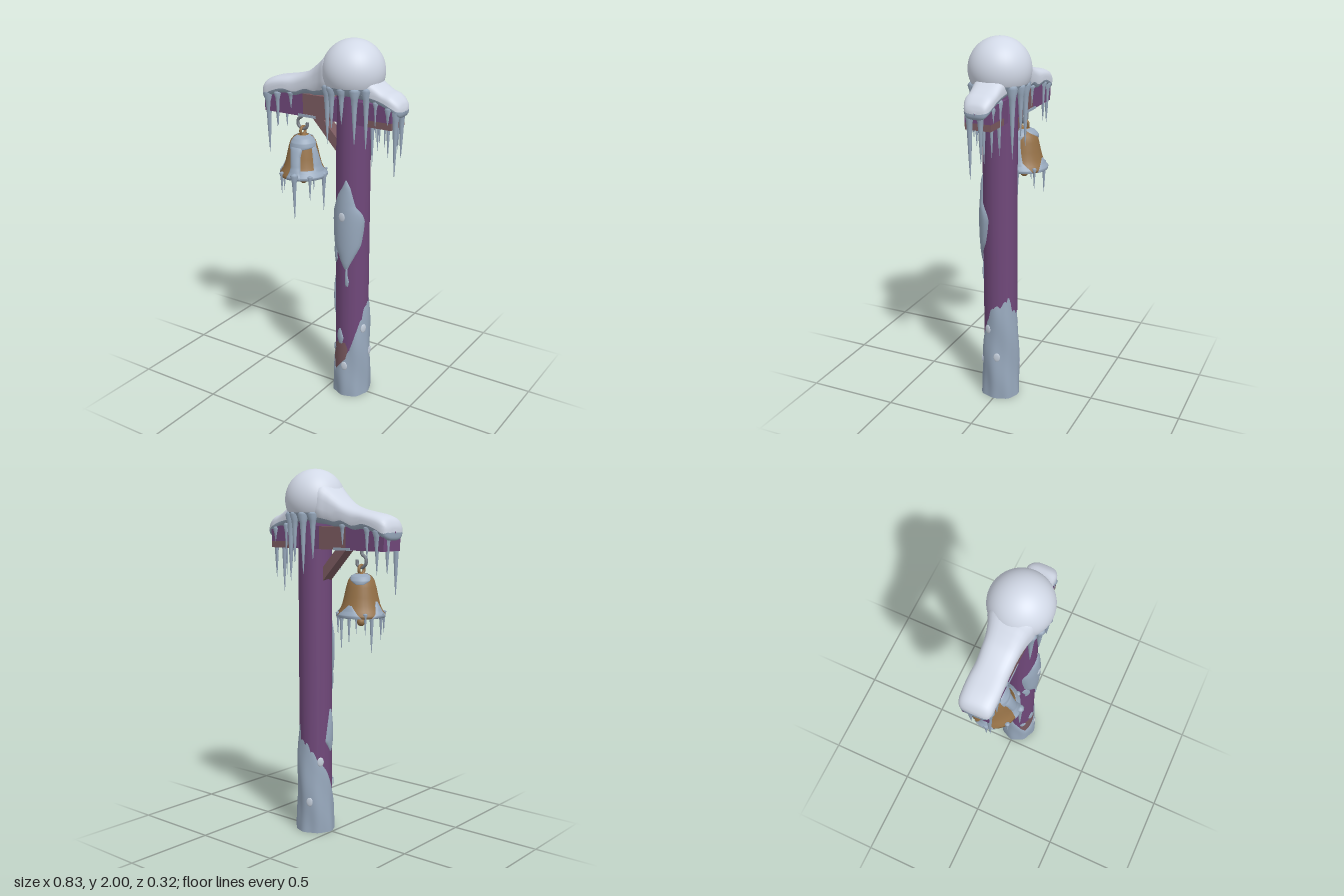
import * as THREE from 'three';
import { mergeVertices } from 'three/addons/utils/BufferGeometryUtils.js';

const mat = (name, color, side = THREE.FrontSide) => {
  const m = new THREE.MeshStandardMaterial({ color, side });
  m.name = name;
  return m;
};

// Smooth surface from f(u, v) with u and v in 0..1
function grid(nu, nv, f) {
  const pos = [], idx = [];
  for (let j = 0; j <= nv; j++) for (let i = 0; i <= nu; i++) pos.push(...f(i / nu, j / nv));
  for (let j = 0; j < nv; j++) for (let i = 0; i < nu; i++) {
    const a = j * (nu + 1) + i, d = a + nu + 1;
    idx.push(a, a + 1, d + 1, a, d + 1, d);
  }
  let g = new THREE.BufferGeometry();
  g.setAttribute('position', new THREE.Float32BufferAttribute(pos, 3));
  g.setIndex(idx);
  g = mergeVertices(g, 1e-5);
  g.computeVertexNormals();
  return g;
}

// Piecewise-linear lookup in a list of [key, value, value...] rows
function lookup(rows, k) {
  let i = 0;
  while (i < rows.length - 2 && k > rows[i + 1][0]) i++;
  const a = rows[i], b = rows[i + 1];
  const t = THREE.MathUtils.clamp((k - a[0]) / (b[0] - a[0]), 0, 1);
  return a.slice(1).map((v, n) => v + (b[n + 1] - v) * t);
}

export function createModel() {
  const root = new THREE.Group();
  root.name = 'snowyBellPost';
  const wood = mat('purple wood', 0x70487a);
  const worn = mat('worn brown wood', 0x7b5a60);
  const snow = mat('snow', 0xd2d9e7, THREE.DoubleSide);
  const ice = mat('ice', 0x97a8bc, THREE.DoubleSide);
  const frost = mat('frost', 0xc4cedb);
  const bronze = mat('bronze', 0x947046);
  const iron = mat('iron', 0x7a8089);

  const add = (name, geo, material, x = 0, y = 0, z = 0) => {
    const m = new THREE.Mesh(geo, material);
    m.name = name;
    m.position.set(x, y, z);
    root.add(m);
    return m;
  };
  const PX = 0.118, PR = 0.091;
  const postRadius = () => PR;

  // Post with foot
  add('post', new THREE.CylinderGeometry(PR, PR, 1.74, 16), wood, PX, 0.88);
  add('postFoot', new THREE.CylinderGeometry(0.1, 0.1, 0.012, 16), wood, PX, 0.006);

  // Crossbeam in wood segments: name, x0, x1, y0, y1, material
  [['beamLeft', -0.395, -0.15, 1.58, 1.7, wood], ['beamWorn', -0.15, 0.03, 1.58, 1.7, worn],
    ['beamMiddle', 0.03, 0.22, 1.58, 1.7, wood], ['beamRightTop', 0.22, 0.375, 1.615, 1.7, wood],
    ['beamRightWorn', 0.22, 0.375, 1.58, 1.615, worn]].forEach(([n, a, b, c, d, m]) =>
    add(n, new THREE.BoxGeometry(b - a, d - c, 0.14), m, (a + b) / 2, (c + d) / 2));
  add('beamIceStrip', new THREE.BoxGeometry(0.11, 0.014, 0.146), ice, -0.125, 1.585);

  // Diagonal brace under the beam
  add('brace', new THREE.BoxGeometry(0.26, 0.05, 0.07), worn, -0.02, 1.505).rotation.z = -0.82;

  // Snow ridge along the beam: x, half width, top, bottom
  const ridge = [
    [-0.416, 0.004, 1.68, 1.67], [-0.412, 0.06, 1.71, 1.64], [-0.39, 0.083, 1.745, 1.635], [-0.34, 0.088, 1.765, 1.66],
    [-0.27, 0.088, 1.778, 1.68], [-0.2, 0.085, 1.793, 1.67], [-0.13, 0.088, 1.818, 1.695], [-0.08, 0.092, 1.855, 1.69],
    [-0.035, 0.102, 1.895, 1.7], [0.02, 0.118, 1.935, 1.71], [0.12, 0.1, 1.9, 1.71], [0.22, 0.085, 1.83, 1.7],
    [0.28, 0.079, 1.79, 1.69], [0.32, 0.077, 1.765, 1.68], [0.365, 0.075, 1.75, 1.66], [0.4, 0.06, 1.72, 1.64],
    [0.412, 0.04, 1.695, 1.65], [0.416, 0.004, 1.675, 1.665]];
  const curve = pick => new THREE.CatmullRomCurve3(ridge.map(pick), false, 'catmullrom', 0.5);
  const topCurve = curve(r => new THREE.Vector3(r[0], r[1], r[2]));
  const lowCurve = curve(r => new THREE.Vector3(r[0], r[3], 0));
  const squash = v => Math.sign(v) * Math.abs(v) ** 0.7;
  // The snow stops a little above the ridge bottom; ice continues below it
  const ridgePart = isSnow => grid(68, 18, (u, v) => {
    const t = topCurve.getPoint(u), low = lowCurve.getPoint(u).y, h = (t.z - low) / 2;
    const edge = Math.asin(Math.max(0, 1 - 0.036 / h) ** (1 / 0.7));
    const a = isSnow ? -edge + (Math.PI + 2 * edge) * v : Math.PI + edge + (Math.PI - 2 * edge) * v;
    return [t.x, low + h + squash(Math.sin(a)) * h, squash(Math.cos(a)) * t.y];
  });
  add('snowRidge', ridgePart(true), snow);
  add('ridgeIceLip', ridgePart(false), ice);

  // Snow ball over the post, with an icy underside
  const split = 1.99, SX = 0.116, SY = 1.838, SR = 0.162;
  add('snowBall', new THREE.SphereGeometry(SR, 40, 24, 0, Math.PI * 2, 0, split), snow, SX, SY);
  const under = new THREE.SphereGeometry(SR, 40, 12, 0, Math.PI * 2, split, Math.PI - split);
  const up = under.attributes.position;
  for (let i = 0; i < up.count; i++) up.setY(i, Math.max(up.getY(i), -0.108));
  under.computeVertexNormals();
  add('ballIceUnderside', under, ice, SX, SY);

  // Icicles: x, z, top, tip, radius
  const icicle = (name, [x, z, top, tip, r], i) => {
    const h = top - tip;
    const profile = [[0, 0], [0.12, 0.12], [0.32, 0.4], [0.46, 0.66], [0.62, 0.84], [1, 0.97], [0.7, 1.01], [0, 1.03]]
      .map(([a, b]) => new THREE.Vector2(a * r, b * h));
    add(name + (i + 1), new THREE.LatheGeometry(profile, 10), ice, x, tip, z);
  };
  [[-0.375, 0.062, 1.685, 1.34, 0.03], [-0.388, -0.03, 1.68, 1.46, 0.027], [-0.31, 0.07, 1.69, 1.5, 0.022],
    [-0.225, 0.07, 1.7, 1.61, 0.021], [-0.35, -0.066, 1.685, 1.46, 0.026], [-0.29, -0.07, 1.7, 1.53, 0.021],
    [-0.13, -0.07, 1.71, 1.6, 0.02], [0.383, 0.04, 1.685, 1.32, 0.027], [0.355, 0.06, 1.69, 1.43, 0.022],
    [0.345, -0.06, 1.69, 1.44, 0.021], [0.385, -0.02, 1.68, 1.41, 0.026], [0.285, 0.066, 1.71, 1.53, 0.016],
    [0.265, -0.066, 1.71, 1.43, 0.018]].forEach((d, i) => icicle('beamIcicle', d, i));
  [[0.018, 0.095, 1.77, 1.46, 0.03], [0.06, 0.12, 1.77, 1.55, 0.029], [0.125, 0.13, 1.77, 1.59, 0.027],
    [0.19, 0.113, 1.77, 1.48, 0.03], [0.235, 0.075, 1.77, 1.45, 0.027], [0.247, 0.03, 1.77, 1.36, 0.027],
    [0.243, -0.05, 1.77, 1.46, 0.027], [0.2, -0.105, 1.77, 1.4, 0.029], [0.15, -0.128, 1.77, 1.5, 0.027],
    [0.09, -0.128, 1.77, 1.44, 0.029], [0.04, -0.108, 1.77, 1.52, 0.029]].forEach((d, i) => icicle('ballIcicle', d, i));

  // Ice sheet hugging a round body; rows are [y, left angle, right angle] in degrees
  const patch = (name, radius, cx, rows, bulge, material = ice) => {
    const y0 = rows[0][0], y1 = rows.at(-1)[0];
    return add(name, grid(14, 24, (u, v) => {
      const y = y0 + (y1 - y0) * v, [a, b] = lookup(rows, y);
      const t = THREE.MathUtils.degToRad(a + (b - a) * u);
      const r = radius(y) + 0.003 + bulge * Math.sqrt(Math.sin(Math.PI * u) * Math.sin(Math.PI * v) + 1e-6);
      return [cx + r * Math.sin(t), y, r * Math.cos(t)];
    }), material);
  };

  // Thick ice around the foot; rim height by angle
  const rim = [[0, 0.23], [25, 0.3], [45, 0.4], [65, 0.52], [95, 0.56], [116, 0.58], [128, 0.65], [140, 0.68],
    [150, 0.65], [160, 0.58], [185, 0.54], [225, 0.43], [262, 0.35], [290, 0.25], [320, 0.14], [340, 0.17], [360, 0.23]];
  add('footIce', grid(64, 24, (u, v) => {
    const t = u * Math.PI * 2, y = v * lookup(rim, u * 360)[0];
    const lump = 0.0025 * Math.cos(8 * t) * (1 - v) + 0.003 * Math.sin(3 * t + y * 17);
    const r = 0.106 - 0.012 * y + lump - 0.012 * v ** 6;
    return [PX + r * Math.sin(t), y, r * Math.cos(t)];
  }), ice);

  // Ice and bare wood patches on the post
  patch('postIce', postRadius, PX, [[0.78, 4, 14], [0.81, -6, 22], [0.865, -22, 40], [0.92, -48, 60],
    [1.0, -56, 70], [1.06, -60, 74], [1.1, -56, 62], [1.14, -40, 40], [1.2, -24, 30], [1.25, -2, 22], [1.285, 6, 10]], 0.02);
  patch('postIceDrop', postRadius, PX, [[0.68, 8, 17], [0.71, 6, 20], [0.74, 6, 16], [0.79, 8, 14]], 0.006);
  patch('postIceLeft', postRadius, PX, [[0.8, -46, -36], [0.83, -46, -26], [0.88, -58, -30], [0.91, -50, -38]], 0.006);
  patch('postIceSide', postRadius, PX, [[0.46, -82, -74], [0.52, -105, -62], [0.62, -95, -66], [0.7, -85, -74]], 0.012);
  patch('postIceLow', postRadius, PX, [[0.32, -18, -4], [0.36, -28, 2], [0.4, -22, -6], [0.415, -16, -10]], 0.007);
  patch('postIceChip', postRadius, PX, [[0.25, -58, -46], [0.28, -62, -36], [0.3, -52, -42]], 0.006);
  patch('wornPatch', postRadius, PX, [[0.12, -45, -22], [0.2, -62, 4], [0.29, -52, 18], [0.33, -22, 8]], 0.001, worn);

  // Frost spots: angle, height, distance from the post axis
  [[0, 1.085, 0.112], [7, 0.19, 0.104], [70, 0.42, 0.1], [102, 0.26, 0.104], [236, 0.41, 0.1],
    [201, 0.18, 0.104]].forEach(([deg, y, d], i) => {
    const t = THREE.MathUtils.degToRad(deg);
    const s = add('frostSpot' + (i + 1), new THREE.SphereGeometry(1, 12, 8), frost, PX + d * Math.sin(t), y, d * Math.cos(t));
    s.scale.set(0.019, 0.026, 0.005);
    s.rotation.y = t;
  });

  // Bell with hollow inside: outer profile as height, radius
  const BX = -0.2;
  const outer = [[1.235, 0.127], [1.25, 0.127], [1.27, 0.113], [1.3, 0.1], [1.34, 0.09], [1.39, 0.079],
    [1.425, 0.069], [1.447, 0.052], [1.46, 0.028], [1.465, 0]];
  const bellRadius = y => lookup(outer, y)[0];
  const inner = outer.slice(0, 8).reverse().map(([y, r]) => new THREE.Vector2(r - 0.012, y));
  add('bell', new THREE.LatheGeometry([new THREE.Vector2(0, 1.44), ...inner,
    ...outer.map(([y, r]) => new THREE.Vector2(r, y))], 32), bronze, BX);
  add('clapperRod', new THREE.CylinderGeometry(0.006, 0.006, 0.24, 8), iron, BX, 1.32);
  add('clapper', new THREE.SphereGeometry(0.022, 14, 10), bronze, BX, 1.205);

  // Hook and ring holding the bell
  const hook = [[-0.2, 1.59], [-0.203, 1.56], [-0.228, 1.54], [-0.23, 1.512], [-0.205, 1.49], [-0.175, 1.502], [-0.17, 1.53]];
  add('hook', new THREE.TubeGeometry(new THREE.CatmullRomCurve3(hook.map(([x, y]) =>
    new THREE.Vector3(x, y, 0))), 30, 0.009, 8), iron);
  add('bellRing', new THREE.TorusGeometry(0.022, 0.008, 8, 18), bronze, BX, 1.48).rotation.y = Math.PI / 2;

  // Ice on the bell: front drips, rim crust, sides, back and cap
  patch('bellFrontIce', bellRadius, BX, [[1.235, -12, 32], [1.26, -8, 28], [1.3, -6, 26], [1.36, -14, 26],
    [1.41, -24, 34]], 0.016);
  patch('bellRimIce', bellRadius, BX, [[1.235, 10, 135], [1.26, 14, 125], [1.285, 22, 110]], 0.008);
  patch('bellRightIce', bellRadius, BX, [[1.25, 60, 118], [1.29, 66, 108], [1.34, 68, 102], [1.41, 70, 96]], 0.009);
  patch('bellLeftIce', bellRadius, BX, [[1.235, -118, -62], [1.26, -105, -72], [1.32, -94, -84]], 0.01);
  patch('bellBackIce', bellRadius, BX, [[1.235, 145, 220], [1.26, 155, 208], [1.3, 178, 190]], 0.004);
  patch('bellFrontCapIce', bellRadius, BX, [[1.39, -24, 20], [1.405, -30, 95], [1.43, -35, 110], [1.46, -40, 120]], 0.006);
  patch('bellBackCapIce', bellRadius, BX, [[1.405, 200, 225], [1.425, 170, 255], [1.46, 115, 290]], 0.006);
  [[-0.322, 0.01, 1.26, 1.12, 0.016], [-0.27, 0.105, 1.26, 1.14, 0.014], [-0.17, 0.13, 1.27, 1.01, 0.022],
    [-0.1, 0.085, 1.26, 1.12, 0.015], [-0.075, -0.01, 1.26, 1.04, 0.018], [-0.12, -0.093, 1.26, 1.14, 0.013],
    [-0.21, -0.113, 1.26, 1.1, 0.016], [-0.29, -0.08, 1.26, 1.15, 0.013]].forEach((d, i) => icicle('bellIcicle', d, i));

  return root;
}
